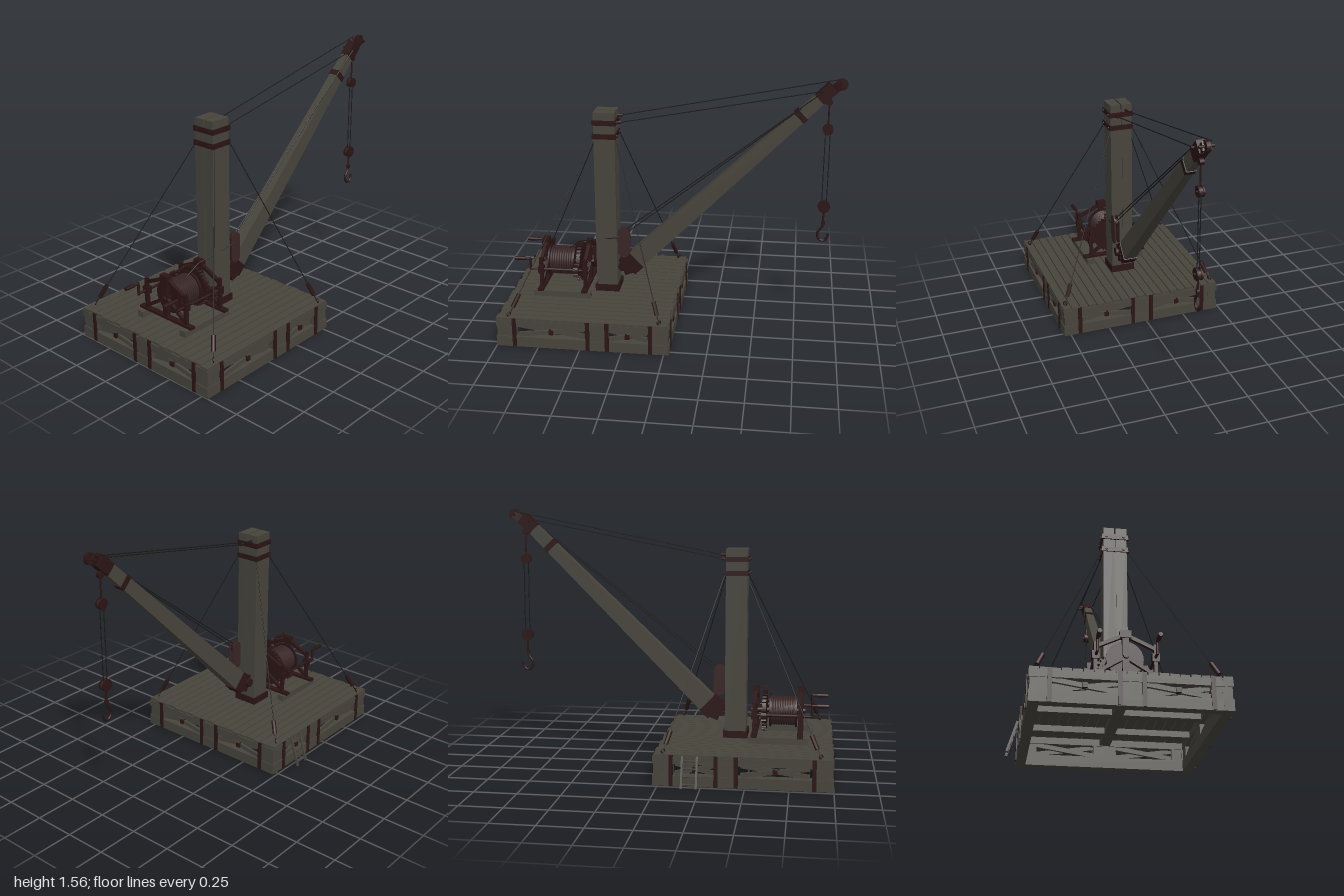
import * as THREE from 'three';

const mat = (name, color) => Object.assign(new THREE.MeshStandardMaterial({ color }), { name });
const V = (x, y, z) => new THREE.Vector3(x, y, z);

export function createModel() {
  const root = new THREE.Group();
  root.name = 'derrickCrane';
  const wood = mat('weathered wood', 0x47443c);
  const iron = mat('dark iron', 0x2b1414);
  const rope = mat('rope', 0x1b1919);
  const coil = mat('rusty brown', 0x382524);
  const CX = -0.485, CZ = 0.03, DECK = 0.185, MX = -0.41;

  const group = (name) => { const g = new THREE.Group(); g.name = name; root.add(g); return g; };
  const add = (g, name, geo, m, x = 0, y = 0, z = 0) => {
    const mesh = new THREE.Mesh(geo, m);
    mesh.name = name;
    mesh.position.set(x, y, z);
    g.add(mesh);
    return mesh;
  };
  const box = (g, name, m, x, y, z, w, h, d) => add(g, name, new THREE.BoxGeometry(w, h, d), m, x, y, z);
  // round bar between two points
  const rod = (g, name, m, a, b, r, n = 8) => {
    const d = b.clone().sub(a);
    const mesh = add(g, name, new THREE.CylinderGeometry(r, r, d.length(), n), m);
    mesh.position.copy(a).add(b).multiplyScalar(0.5);
    mesh.quaternion.setFromUnitVectors(V(0, 1, 0), d.normalize());
    return mesh;
  };
  // square timber between two points; w is horizontal width, h the other depth, taper scales the far end
  const beam = (g, name, m, a, b, w, h, taper = 1) => {
    const d = b.clone().sub(a), len = d.length();
    const geo = new THREE.BoxGeometry(w, len, h), p = geo.attributes.position;
    for (let i = 0; i < p.count; i++) if (p.getY(i) > 0) p.setXYZ(i, p.getX(i) * taper, p.getY(i), p.getZ(i) * taper);
    geo.computeVertexNormals();
    const mesh = add(g, name, geo, m);
    d.normalize();
    const side = Math.abs(d.y) > 0.999 ? V(1, 0, 0) : V(0, 1, 0).cross(d).normalize();
    mesh.quaternion.setFromRotationMatrix(new THREE.Matrix4().makeBasis(side, d, side.clone().cross(d)));
    mesh.position.copy(a).add(b).multiplyScalar(0.5);
    return mesh;
  };
  const disc = (g, name, m, x, y, z, r, t, n = 16) =>
    rod(g, name, m, V(x, y, z - t / 2), V(x, y, z + t / 2), r, n);

  // deck planks, joists and the open base frame
  const base = group('platform');
  for (let i = 0; i < 19; i++) {
    const z = CZ - 0.512 + (i + 0.5) * (1.024 / 19);
    box(base, 'deckPlank', wood, CX + 0.004 * ((i * 7) % 3 - 1), 0.177, z, 1.018, 0.016, 0.048);
  }
  for (const x of [-0.8, -0.495, -0.2]) box(base, 'joist', wood, x, 0.152, CZ, 0.055, 0.036, 0.94);
  box(base, 'centreBeam', wood, CX, 0.15, CZ, 0.94, 0.034, 0.06);
  const mids = [[-0.67, 0.195], [-0.215, 0.115]];
  for (const s of [-1, 1]) {
    const z = CZ + s * 0.484, x = CX + s * 0.486;
    for (const [y, h] of [[0.032, 0.064], [0.15, 0.04]]) {
      box(base, 'longSill', wood, CX, y, z, 1.03, h, 0.055);
      box(base, 'crossSill', wood, x, y, CZ, 0.055, h, 0.915);
    }
    for (const t of [-1, 1]) {
      box(base, 'cornerPost', wood, CX + s * 0.484, 0.09, CZ + t * 0.48, 0.052, 0.17, 0.052);
      box(base, 'sidePost', wood, CX + t * 0.43, 0.09, z, 0.07, 0.15, 0.045);
      box(base, 'endPost', wood, x, 0.09, CZ + t * 0.43, 0.045, 0.15, 0.07);
      box(base, 'endStrap', iron, x + s * 0.028, 0.092, CZ + t * 0.408, 0.008, 0.18, 0.024);
      box(base, 'endStrap', iron, x + s * 0.028, 0.092, CZ + t * 0.06, 0.008, 0.18, 0.024);
    }
    box(base, 'middleSidePost', wood, -0.395, 0.09, z, 0.13, 0.15, 0.045);
    box(base, 'middleEndPost', wood, x, 0.09, CZ, 0.045, 0.15, 0.13);
    for (const sx of [-0.89, -0.45, -0.335, -0.078])
      box(base, 'sideStrap', iron, sx, 0.092, z + s * 0.028, 0.024, 0.18, 0.008);
    // cross braces with a bolt in the middle
    for (const [mx, half] of mids) {
      for (const t of [-1, 1])
        beam(base, 'sideBrace', wood, V(mx - half, 0.1 - t * 0.026, z + t * 0.008), V(mx + half, 0.1 + t * 0.026, z + t * 0.008), 0.016, 0.026);
      box(base, 'braceBolt', iron, mx, 0.1, z + s * 0.014, 0.026, 0.026, 0.026);
    }
    for (const e of [-1, 1]) {
      const mz = CZ + e * 0.234;
      for (const t of [-1, 1])
        beam(base, 'endBrace', wood, V(x + t * 0.008, 0.1 - t * 0.026, mz - 0.17), V(x + t * 0.008, 0.1 + t * 0.026, mz + 0.17), 0.016, 0.026);
      box(base, 'braceBolt', iron, x + s * 0.014, 0.1, mz, 0.026, 0.026, 0.026);
    }
  }

  // boarding ladder on the back
  const ladder = group('ladder');
  for (const x of [-0.23, -0.145]) beam(ladder, 'ladderRail', wood, V(x, 0.005, -0.543), V(x, 0.182, -0.488), 0.012, 0.014);
  for (let i = 0; i < 4; i++) {
    const t = 0.15 + i * 0.24;
    rod(ladder, 'rung', wood, V(-0.23, 0.177 * t, -0.543 + 0.055 * t), V(-0.145, 0.177 * t, -0.543 + 0.055 * t), 0.005, 6);
  }

  // mast of paired timbers with iron bands
  const mast = group('mast');
  for (const s of [-1, 1]) box(mast, 'mastTimber', wood, MX, 0.757, CZ + s * 0.037, 0.128, 1.146, 0.064);
  box(mast, 'mastCore', wood, MX, 0.74, CZ, 0.12, 1.11, 0.03);
  box(mast, 'mastShoe', iron, MX, 0.205, CZ, 0.148, 0.044, 0.155);
  for (const y of [1.268, 1.185]) {
    box(mast, 'mastBand', iron, MX, y, CZ, 0.142, 0.03, 0.153);
    for (const s of [-1, 1]) {
      rod(mast, 'bandBolt', iron, V(MX - 0.08, y, CZ + s * 0.05), V(MX + 0.08, y, CZ + s * 0.05), 0.008);
      rod(mast, 'bandBolt', iron, V(MX + s * 0.05, y, CZ - 0.084), V(MX + s * 0.05, y, CZ + 0.084), 0.008);
    }
  }

  // boom with hinge foot, band and head pulley
  const boom = group('boom');
  const foot = V(-0.26, 0.36, CZ), tip = V(0.88, 1.475, CZ);
  const along = (t) => foot.clone().lerp(tip, t);
  beam(boom, 'boomTimber', wood, foot, tip, 0.08, 0.118, 0.58);
  beam(boom, 'boomShoe', iron, V(-0.32, 0.335, CZ), V(-0.262, 0.358, CZ), 0.09, 0.11);
  beam(boom, 'boomShoeStrap', iron, along(-0.02), along(0.025), 0.088, 0.126);
  disc(boom, 'hingePin', iron, -0.315, 0.345, CZ, 0.028, 0.12, 12);
  beam(boom, 'boomBand', iron, along(0.865), along(0.886), 0.06, 0.084);
  beam(boom, 'boomHead', iron, along(0.965), along(1.03), 0.055, 0.075);
  for (const s of [-1, 1]) beam(boom, 'headCheek', iron, along(0.98), V(0.965, 1.53, CZ + s * 0.02), 0.009, 0.05);
  disc(boom, 'headPulley', iron, 0.963, 1.525, CZ, 0.034, 0.022, 18);
  disc(boom, 'headAxle', iron, 0.963, 1.525, CZ, 0.009, 0.085, 8);
  disc(boom, 'ropePin', iron, 0.87, 1.49, CZ, 0.008, 0.09, 8);

  // rope guide on the mast
  const guide = group('ropeGuide');
  for (const z of [0.076, 0.104]) {
    box(guide, 'guidePlate', coil, -0.302, 0.515, z, 0.072, 0.12, 0.008);
    for (const y of [0.455, 0.575]) disc(guide, 'guidePlateEnd', coil, -0.302, y, z, 0.036, 0.008, 18);
  }
  disc(guide, 'guideWheel', iron, -0.302, 0.565, 0.09, 0.026, 0.02, 14);
  box(guide, 'guideBack', iron, -0.33, 0.5, 0.09, 0.012, 0.12, 0.024);

  // hoist and topping ropes
  const lines = group('ropes');
  const line = (...pts) => { for (let i = 1; i < pts.length; i++) rod(lines, 'rope', rope, pts[i - 1], pts[i], 0.003, 6); };
  line(V(-0.65, 0.44, 0.05), V(-0.58, 0.5, 0.07), V(-0.34, 0.548, 0.11), V(-0.3, 0.59, 0.09), V(0.87, 1.495, 0.065));
  line(V(-0.3, 0.565, 0.09), V(0.74, 1.385, 0.06));
  line(V(-0.32, 1.295, 0.0), V(0.95, 1.545, -0.005));
  line(V(-0.32, 1.265, 0.06), V(0.87, 1.495, 0.07));
  for (const [y, z] of [[1.293, 0], [1.265, 0.06]]) rod(lines, 'ropeEye', iron, V(-0.345, y, z), V(-0.312, y, z), 0.009);

  // four stays with turnbuckles
  for (const [top, bottom] of [[-0.472, -0.925], [-0.338, -0.03]]) for (const s of [-1, 1]) {
    const a = V(bottom, 0.19, CZ + s * 0.485), b = V(top, 1.17, CZ + s * 0.075);
    const at = (t) => a.clone().lerp(b, t);
    rod(lines, 'stay', rope, a, b, 0.003, 6);
    rod(lines, 'turnbuckle', iron, at(0.045), at(0.12), 0.013);
    const eye = add(lines, 'deckEye', new THREE.TorusGeometry(0.012, 0.004, 6, 12), iron, a.x, 0.197, a.z);
    eye.rotation.y = Math.PI / 4;
  }

  // hanging tackle and hook
  const tackle = group('tackle');
  const HX = 0.897;
  rod(tackle, 'shackle', iron, V(HX, 1.5, CZ), V(HX, 1.26, CZ), 0.005);
  disc(tackle, 'swivel', iron, HX, 1.42, CZ, 0.019, 0.025, 12);
  for (const [y, r] of [[1.257, 0.031], [0.78, 0.036]]) {
    for (const s of [-1, 1]) disc(tackle, 'blockCheek', iron, HX, y, CZ + s * 0.012, r, 0.009, 12);
    disc(tackle, 'blockWheel', coil, HX, y, CZ, r * 0.85, 0.014, 14);
    disc(tackle, 'blockPin', iron, HX, y, CZ, 0.008, 0.045, 8);
  }
  for (const s of [-1, 1]) rod(tackle, 'fallRope', rope, V(HX + s * 0.014, 1.257, CZ), V(HX + s * 0.014, 0.78, CZ), 0.003, 6);
  rod(tackle, 'hookShank', iron, V(HX, 0.75, CZ), V(HX, 0.66, CZ), 0.006);
  disc(tackle, 'hookEye', iron, HX, 0.675, CZ, 0.013, 0.015, 10);
  const hookPath = new THREE.CatmullRomCurve3([[0, 0.675], [-0.004, 0.65], [-0.027, 0.618], [-0.03, 0.59], [-0.012, 0.565],
    [0.014, 0.565], [0.03, 0.588], [0.032, 0.612]].map(([x, y]) => V(HX + x, y, CZ)));
  add(tackle, 'hook', new THREE.TubeGeometry(hookPath, 28, 0.0075, 8), iron);

  // winch: skids, end frames, drum, gears and cranks
  const winch = group('winch');
  const WY = 0.35, across = (name, m, x0, x1, y, z, r, n) => rod(winch, name, m, V(x0, y, z), V(x1, y, z), r, n);
  for (const s of [-1, 1]) box(winch, 'skid', wood, -0.672, 0.204, CZ + s * 0.173, 0.355, 0.038, 0.045);
  for (const x of [-0.802, -0.53]) {
    box(winch, 'frameFoot', iron, x, 0.232, CZ, 0.034, 0.016, 0.42);
    box(winch, 'frameCap', iron, x, 0.475, CZ, 0.038, 0.042, 0.06);
    box(winch, 'frameCentre', iron, x, 0.35, CZ, 0.024, 0.23, 0.035);
    for (const s of [-1, 1]) {
      const z = CZ + s * 0.158;
      box(winch, 'framePost', iron, x, 0.33, z, 0.022, 0.19, 0.02);
      beam(winch, 'frameTopStrut', iron, V(x, 0.4, z), V(x, 0.475, CZ), 0.02, 0.02);
      beam(winch, 'frameBrace', iron, V(x, 0.25, z), V(x, WY, CZ), 0.02, 0.02);
      box(winch, 'shaftBearing', iron, x, WY, z, 0.034, 0.045, 0.04);
    }
  }
  across('drumAxle', iron, -0.83, -0.505, WY, CZ, 0.016, 10);
  across('drum', coil, -0.77, -0.62, WY, CZ, 0.08, 24);
  for (let i = 0; i < 10; i++) {
    const ring = add(winch, 'ropeTurn', new THREE.TorusGeometry(0.082, 0.008, 6, 24), coil, -0.762 + i * 0.0148, WY, CZ);
    ring.rotation.y = Math.PI / 2;
  }
  for (const x of [-0.775, -0.62]) across('drumFlange', iron, x - 0.005, x + 0.005, WY, CZ, 0.1, 24);
  // toothed wheel facing along x
  const gear = (x, z, r, n, t) => {
    across('gear', iron, x - t / 2, x + t / 2, WY, z, r, 24);
    for (let i = 0; i < n; i++) {
      const a = (i / n) * Math.PI * 2;
      const tooth = box(winch, 'gearTooth', iron, x, WY + Math.sin(a) * r, z + Math.cos(a) * r, t, 0.011, 0.022);
      tooth.rotation.x = -a;
    }
  };
  gear(-0.585, CZ, 0.115, 30, 0.024);
  for (const s of [-1, 1]) {
    const z = CZ + s * 0.156;
    gear(-0.585, z, 0.026, 9, 0.03);
    across('crankShaft', iron, -0.875, -0.505, WY, z, 0.008, 8);
    rod(winch, 'crankArm', iron, V(-0.87, WY - 0.008, z), V(-0.87, 0.42, z), 0.008);
    across('crankHandle', iron, -0.968, -0.866, 0.415, z, 0.008, 8);
    across('crankGrip', iron, -0.966, -0.9, 0.415, z, 0.012, 10);
  }
  return root;
}
